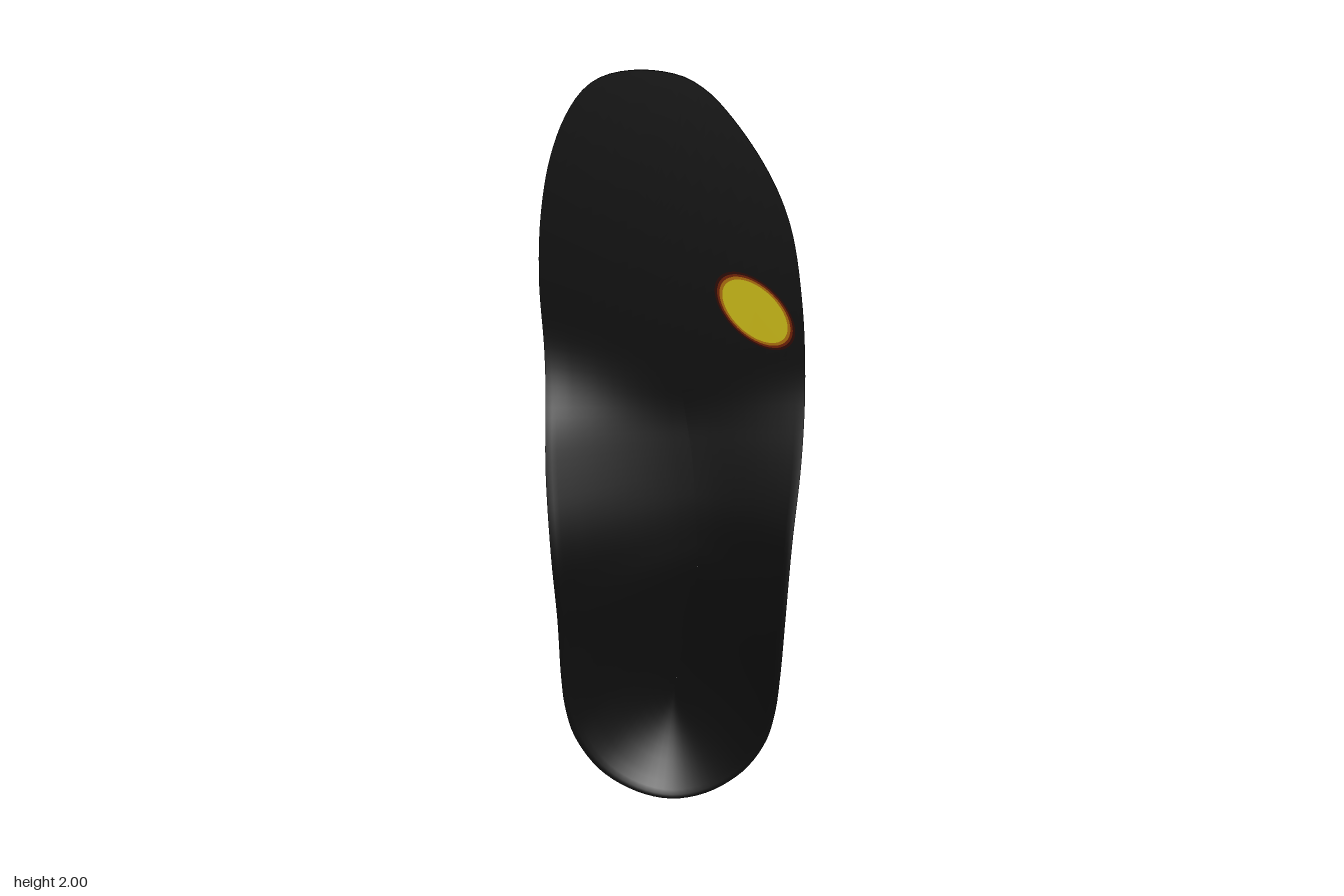
import * as THREE from 'three';

const BACK = -0.087; // flat underside
const SEGMENTS = 180;

// piecewise-linear table lookup, softened by averaging neighbouring samples
function lookup(table, y) {
  const at = (v) => {
    if (v <= table[0][0]) return table[0][1];
    for (let i = 1; i < table.length; i++) {
      const [y0, a] = table[i - 1], [y1, b] = table[i];
      if (v <= y1) return a + (b - a) * (v - y0) / (y1 - y0);
    }
    return table[table.length - 1][1];
  };
  let sum = 0;
  for (let k = -3; k <= 3; k++) sum += at(y + k * 0.015);
  return sum / 7;
}

// outline of the upper rim, counterclockwise from the heel
const OUTLINE = [
  [0, 0], [0.1, 0.025], [0.2, 0.1], [0.262, 0.2], [0.287, 0.3], [0.298, 0.42], [0.307, 0.6],
  [0.318, 0.8], [0.335, 1.0], [0.34, 1.15], [0.337, 1.27], [0.325, 1.42], [0.295, 1.6],
  [0.26, 1.7], [0.205, 1.8], [0.13, 1.9], [0.08, 1.95], [0.02, 1.985], [-0.08, 2.0],
  [-0.17, 1.985], [-0.22, 1.953], [-0.265, 1.89], [-0.305, 1.79], [-0.333, 1.65], [-0.344, 1.48],
  [-0.337, 1.3], [-0.332, 1.15], [-0.33, 1.0], [-0.318, 0.8], [-0.307, 0.6], [-0.303, 0.4],
  [-0.295, 0.3], [-0.27, 0.2], [-0.2, 0.09], [-0.1, 0.022],
];
// rim height, and base width relative to the rim, on the outer (+x) and arch (-x) sides
const RIM_OUTER = [[0, 0.074], [0.45, 0.073], [0.6, 0.062], [0.8, 0.03], [1.0, -0.025], [1.13, -0.06], [1.22, -0.079]];
const RIM_ARCH = [[0, 0.074], [0.5, 0.076], [0.68, 0.086], [0.76, 0.086], [0.86, 0.07], [1.0, 0.03], [1.1, -0.002], [1.2, -0.05], [1.28, -0.074], [1.34, -0.079]];
const BASE_OUTER = [[0, 0.8], [0.4, 0.84], [0.75, 0.87], [1.0, 0.94], [1.2, 1]];
const BASE_ARCH = [[0, 0.8], [0.4, 0.83], [0.6, 0.74], [0.75, 0.69], [0.9, 0.74], [1.05, 0.85], [1.27, 1]];
// centre line: sideways position and height of the footbed
const SPINE_X = [[0.28, 0], [0.7, 0.07], [1.0, 0.05], [1.3, 0], [1.75, -0.06]];
const FLOOR = [[0.25, -0.06], [0.4, -0.055], [0.7, -0.03], [0.85, -0.04], [1.0, -0.062], [1.12, -0.079]];

// skin between closed rings of equal length
function loft(rings) {
  const n = rings[0].length, index = [];
  for (let r = 0; r < rings.length - 1; r++) {
    for (let i = 0; i < n; i++) {
      const j = (i + 1) % n;
      const a = r * n + i, b = r * n + j, c = a + n, d = b + n;
      index.push(a, b, c, b, d, c);
    }
  }
  const geometry = new THREE.BufferGeometry().setFromPoints(rings.flat());
  geometry.setIndex(index);
  geometry.computeVertexNormals();
  return geometry;
}

export function createModel() {
  const group = new THREE.Group();
  group.name = 'insole';
  const black = new THREE.MeshStandardMaterial({ color: 0x0c0c0c });
  const add = (name, geometry, material) => {
    const mesh = new THREE.Mesh(geometry, material);
    mesh.name = name;
    group.add(mesh);
    return mesh;
  };

  const curve = new THREE.CatmullRomCurve3(OUTLINE.map(([x, y]) => new THREE.Vector3(x, y, 0)), true);
  const outline = curve.getSpacedPoints(SEGMENTS).slice(0, SEGMENTS);

  const rim = outline.map(({ x, y }) =>
    new THREE.Vector3(x, Math.max(0, y), lookup(x > 0 ? RIM_OUTER : RIM_ARCH, y)));
  const base = outline.map(({ x, y }) => new THREE.Vector3(
    x * lookup(x > 0 ? BASE_OUTER : BASE_ARCH, y),
    y + 0.08 * Math.max(0, 1 - y / 0.5) ** 2,
    BACK));
  const spine = outline.map(({ y }) => {
    const sy = 0.28 + y * 0.735;
    return new THREE.Vector3(lookup(SPINE_X, sy), sy, lookup(FLOOR, sy));
  });

  // footbed: dished from a narrow flat lip down to the centre line
  const steps = [1, 0.985, 0.955, 0.92, 0.86, 0.8, 0.7, 0.6, 0.5, 0.4, 0.3, 0.2, 0.1, 0];
  add('footbed', loft(steps.map((f) => rim.map((p, i) => {
    const q = spine[i].clone().lerp(p, f);
    q.z = spine[i].z + (p.z - spine[i].z) * Math.min(1, f / 0.96) ** 1.9;
    return q;
  }))), black);

  // side wall: flares from the base out to the rim with a slight bulge
  add('sideWall', loft([0, 0.25, 0.5, 0.75, 1].map((t) => base.map((p, i) => {
    const q = p.clone().lerp(rim[i], t + 0.2 * t * (1 - t));
    q.z = p.z + (rim[i].z - p.z) * t;
    return q;
  }))), black);

  // flat underside
  add('underside', loft([spine.map((p) => new THREE.Vector3(p.x, p.y, BACK)), base]), black);

  // oval pressure spot under the ball of the foot, shading from red to yellow
  const spot = new THREE.Group();
  spot.name = 'pressureSpot';
  spot.position.set(0.205, 1.408, -0.0785);
  spot.rotation.z = -0.78;
  [[1, 0x2a0500], [0.94, 0x6b1d00], [0.88, 0xa86a08], [0.81, 0xc4b414]].forEach(([s, color], i) => {
    const disc = add('spotLayer' + (i + 1), new THREE.CircleGeometry(1, 48), new THREE.MeshStandardMaterial({ color }));
    disc.scale.set(0.128 * s, 0.07 * s, 1);
    disc.position.z = 0.0006 * (i + 1);
    spot.add(disc);
  });
  group.add(spot);
  return group;
}
